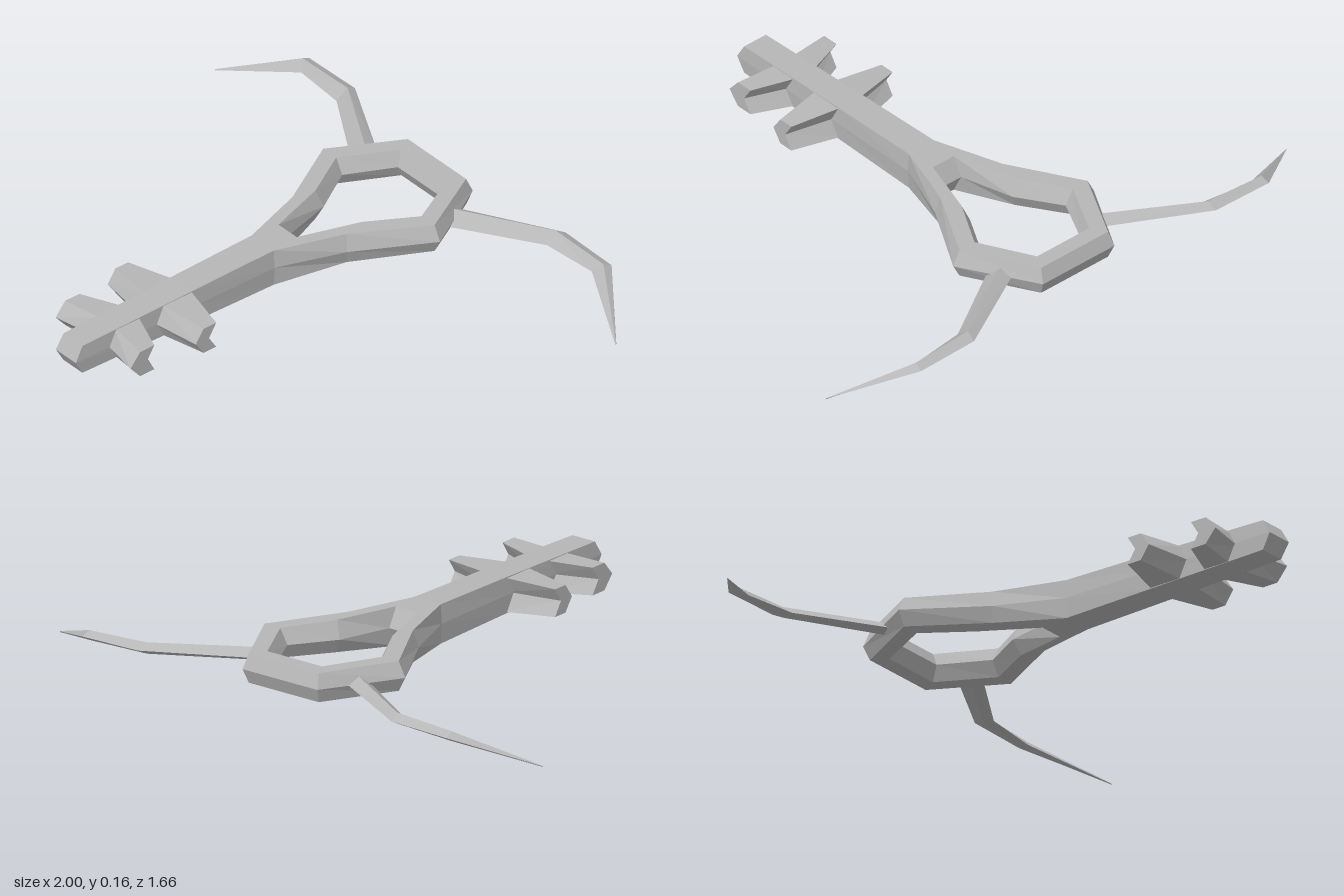
import * as THREE from 'three';

const grey = new THREE.MeshStandardMaterial({ color: 0xb6b6b6, flatShading: true });
grey.name = 'plain grey';

// Skins a list of equal-length cross-sections; ends are fan-capped unless the loft is a closed ring.
function loft(name, sections, closed = false) {
  const n = sections[0].length;
  const count = sections.length;
  const tris = [];
  for (let i = 0; i < (closed ? count : count - 1); i++) {
    const a = sections[i], b = sections[(i + 1) % count];
    for (let j = 0; j < n; j++) {
      const k = (j + 1) % n;
      tris.push([a[j], a[k], b[k]], [a[j], b[k], b[j]]);
    }
  }
  if (!closed) {
    const s = sections[0], e = sections[count - 1];
    for (let j = 1; j < n - 1; j++) tris.push([s[0], s[j + 1], s[j]], [e[0], e[j], e[j + 1]]);
  }
  // Signed volume decides whether the winding must be turned outward
  const volume = tris.reduce((sum, [p, q, r]) => sum +
    p[0] * (q[1] * r[2] - q[2] * r[1]) +
    p[1] * (q[2] * r[0] - q[0] * r[2]) +
    p[2] * (q[0] * r[1] - q[1] * r[0]), 0);
  const facing = volume < 0 ? tris.map(([p, q, r]) => [p, r, q]) : tris;
  const geometry = new THREE.BufferGeometry();
  geometry.setAttribute('position', new THREE.Float32BufferAttribute(facing.flat(2), 3));
  geometry.computeVertexNormals();
  const mesh = new THREE.Mesh(geometry, grey);
  mesh.name = name;
  return mesh;
}

const mirror = (section) => section.map(([x, y, z]) => [-x, y, z]);

// Hexagonal bow section from plan points: outer ridge, outer edge, inner edge, inner ridge
function bowSection([om, oe, ie, im], top, mid, bottom) {
  return [
    [om[0], mid, om[1]], [oe[0], top, oe[1]], [ie[0], top, ie[1]],
    [im[0], mid, im[1]], [ie[0], bottom, ie[1]], [oe[0], bottom, oe[1]],
  ];
}

// Chevron bit section: notched at the back, pointed at the front
function bitSection(x, back, edge, point, low, high) {
  const notch = back + 0.03, mid = (low + high) / 2;
  return [
    [x, mid, notch], [x, high, back], [x, high, edge],
    [x, mid, point], [x, low, edge], [x, low, back],
  ];
}

// Shaft section: middle ridge on each side, flat top and bottom
function shaftSection(w, edgeW, z, ridgeZ, low, mid, high) {
  return [
    [w, mid, ridgeZ], [edgeW, high, z], [-edgeW, high, z],
    [-w, mid, ridgeZ], [-edgeW, low, z], [edgeW, low, z],
  ];
}

export function createModel() {
  const model = new THREE.Group();
  model.name = 'wingedKey';

  // Open bow, from the back edge round to the neck, then mirrored
  const half = [
    bowSection([[0.155, -0.755], [0.145, -0.735], [0.113, -0.68], [0.1, -0.655]], 0.15, 0.1, 0.05),
    bowSection([[0.305, -0.49], [0.278, -0.49], [0.213, -0.49], [0.183, -0.49]], 0.152, 0.1, 0.05),
    bowSection([[0.15, -0.23], [0.135, -0.24], [0.115, -0.32], [0.092, -0.335]], 0.154, 0.095, 0.043),
    bowSection([[0.06, 0], [0.055, 0], [0.045, -0.105], [0.045, -0.14]], 0.155, 0.09, 0.02),
  ];
  model.add(loft('bow', [...half, ...half.map(mirror).reverse()], true));

  // Shaft with a pointed front end
  model.add(loft('shaft', [
    shaftSection(0.06, 0.055, 0, 0, 0.02, 0.09, 0.155),
    shaftSection(0.055, 0.052, 0.34, 0.34, 0.026, 0.089, 0.15),
    shaftSection(0.05, 0.047, 0.8, 0.83, 0.035, 0.088, 0.14),
  ]));

  // Two pairs of bits
  const bits = {
    RearBit: [
      bitSection(0.03, 0.338, 0.463, 0.495, 0.028, 0.147),
      bitSection(0.22, 0.382, 0.435, 0.468, 0.04, 0.135),
    ],
    FrontBit: [
      bitSection(0.03, 0.555, 0.655, 0.685, 0.032, 0.142),
      bitSection(0.187, 0.615, 0.675, 0.715, 0.04, 0.135),
    ],
  };

  // Wing sections: back edge, top ridge, front edge, underside
  const wing = [
    [[0.18, 0.1, -0.645], [0.2, 0.124, -0.61], [0.22, 0.085, -0.565], [0.2, 0.078, -0.605]],
    [[0.525, 0.1, -0.833], [0.52, 0.12, -0.798], [0.525, 0.085, -0.755], [0.522, 0.078, -0.79]],
    [[0.755, 0.095, -0.833], [0.75, 0.11, -0.803], [0.725, 0.08, -0.775], [0.745, 0.075, -0.8]],
    [[1, 0.003, -0.646], [1, 0.004, -0.645], [0.998, 0.001, -0.643], [0.999, 0, -0.645]],
  ];

  for (const side of ['left', 'right']) {
    const place = (sections) => (side === 'left' ? sections : sections.map(mirror));
    for (const [name, sections] of Object.entries(bits)) model.add(loft(side + name, place(sections)));
    model.add(loft(side + 'Wing', place(wing)));
  }

  return model;
}
